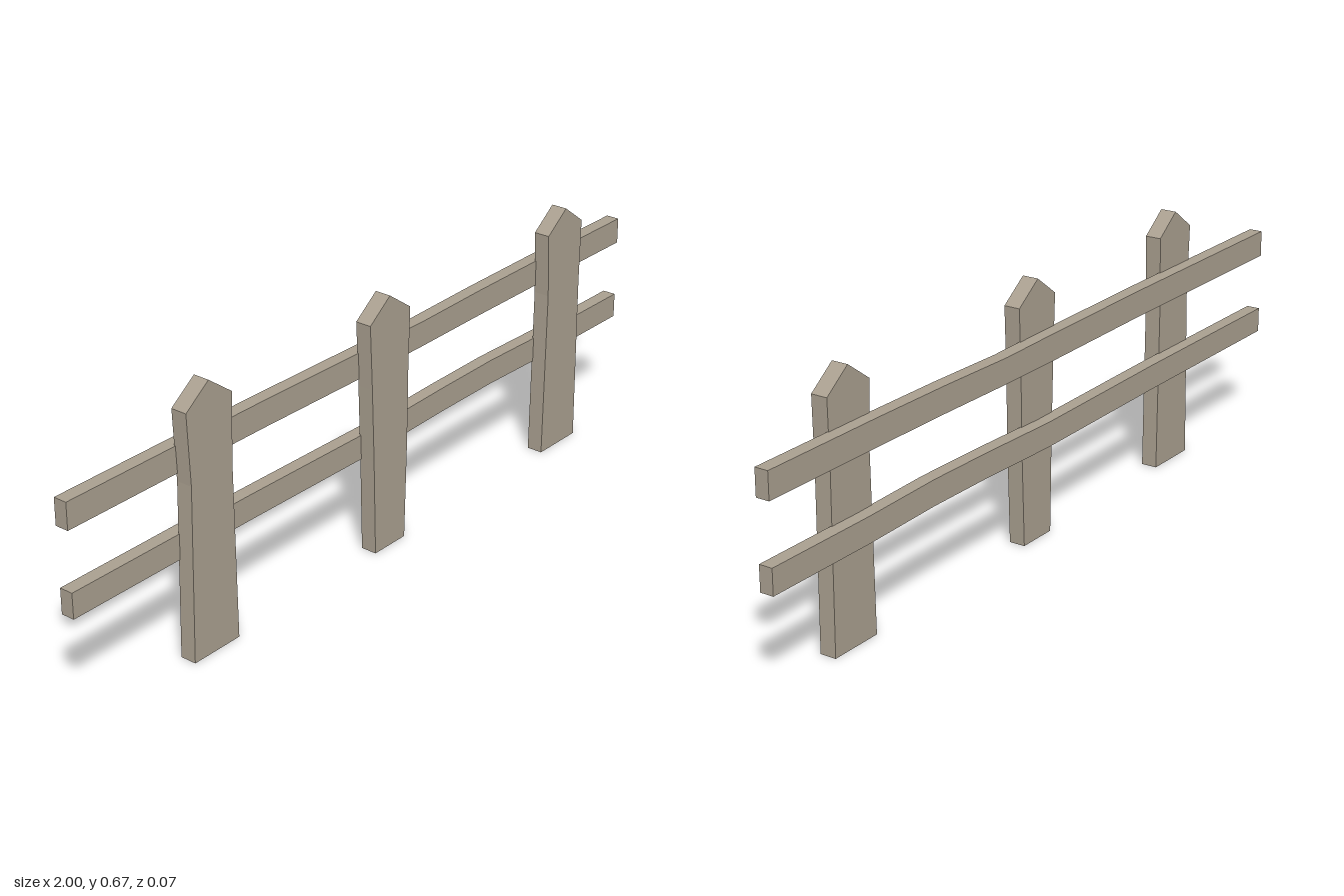
import * as THREE from 'three';

const wood = new THREE.MeshStandardMaterial({ color: 0xa99f8f });
wood.name = 'weatheredWood';

// Flat board cut from an outline, spanning zBack to zFront
function board(name, points, zBack, zFront) {
  const shape = new THREE.Shape(points.map(([x, y]) => new THREE.Vector2(x, y)));
  const geometry = new THREE.ExtrudeGeometry(shape, { depth: zFront - zBack, bevelEnabled: false });
  geometry.translate(0, 0, zBack);
  const mesh = new THREE.Mesh(geometry, wood);
  mesh.name = name;
  return mesh;
}

// Picket with a pointed top; rows are [y, left edge, right edge] from the ground up
function picket(name, rows, peak) {
  const right = rows.map(([y, , r]) => [r, y]);
  const left = rows.map(([y, l]) => [l, y]).reverse();
  return board(name, [...right, peak, ...left], -0.005, 0.037);
}

// Slightly warped rail; stations are [x, bottom, top]
function rail(name, stations) {
  const bottom = stations.map(([x, b]) => [x, b]);
  const top = stations.map(([x, , t]) => [x, t]).reverse();
  return board(name, [...bottom, ...top], -0.037, -0.002);
}

export function createModel() {
  const fence = new THREE.Group();
  fence.name = 'fence';

  // Three pickets
  fence.add(
    picket('rightPicket', [[0, -0.684, -0.539], [0.44, -0.674, -0.544], [0.617, -0.682, -0.539]], [-0.61, 0.67]),
    picket('middlePicket', [[0, -0.053, 0.057], [0.25, -0.058, 0.066], [0.44, -0.064, 0.069], [0.604, -0.071, 0.075]], [0, 0.657]),
    picket('leftPicket', [[0, 0.627, 0.771], [0.44, 0.635, 0.768], [0.604, 0.628, 0.771]], [0.7, 0.657])
  );

  // Two rails behind the pickets
  fence.add(
    rail('upperRail', [[-1, 0.46, 0.527], [-0.4, 0.46, 0.527], [0, 0.456, 0.523], [0.17, 0.456, 0.52], [0.4, 0.459, 0.525], [0.65, 0.46, 0.527], [1, 0.46, 0.527]]),
    rail('lowerRail', [[-1, 0.248, 0.312], [-0.45, 0.248, 0.312], [0, 0.244, 0.307], [0.25, 0.251, 0.314], [0.45, 0.253, 0.317], [0.68, 0.248, 0.312], [1, 0.248, 0.312]])
  );
  return fence;
}
